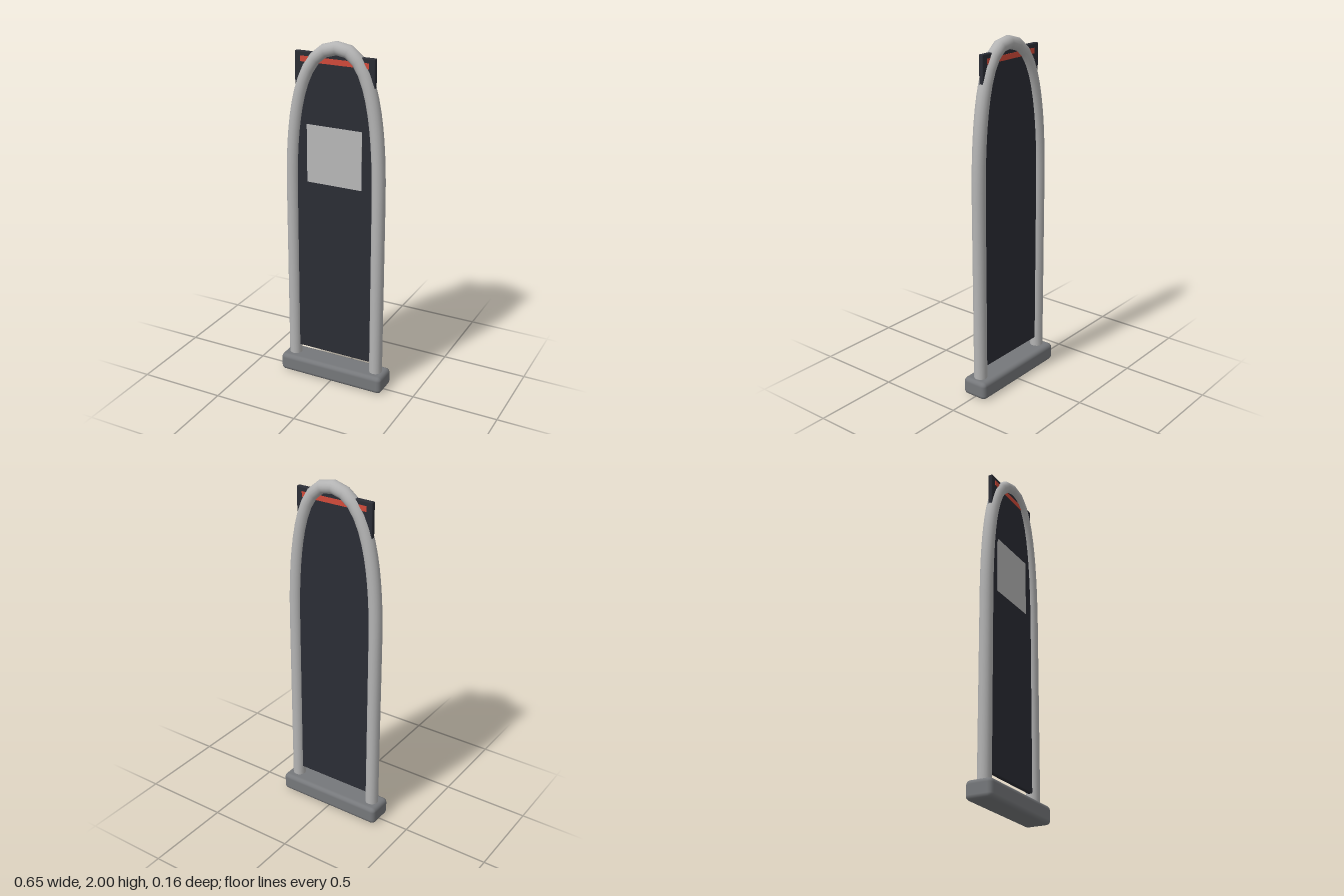
import * as THREE from 'three';
import { RoundedBoxGeometry } from 'three/addons/geometries/RoundedBoxGeometry.js';

function material(name, color) {
  const m = new THREE.MeshStandardMaterial({ color });
  m.name = name;
  return m;
}

export function createModel() {
  const group = new THREE.Group();
  const steel = material('brushed steel', 0xb4b4b4);
  const labelGrey = material('label grey', 0xb8b8b8);
  const baseGrey = material('base grey', 0x76787b);
  const dark = material('dark panel', 0x2b2d35);
  const red = material('red stripe', 0xd24a3a);

  const add = (name, geometry, mat, x, y, z) => {
    const mesh = new THREE.Mesh(geometry, mat);
    mesh.name = name;
    mesh.position.set(x, y, z);
    group.add(mesh);
  };

  // Foot with softened edges
  add('base', new RoundedBoxGeometry(0.65, 0.105, 0.155, 2, 0.025), baseGrey, 0, 0.0525, 0);

  // Bent tube: two straight legs joined by a slightly off-centre arch
  const v = (x, y) => new THREE.Vector3(x, y, 0);
  const leg = 0.2615, spring = 1.15, crown = 1.9625, apex = 0.024;
  const path = new THREE.CurvePath();
  path.add(new THREE.LineCurve3(v(-leg, 0.06), v(-leg, spring)));
  path.add(new THREE.QuadraticBezierCurve3(v(-leg, spring), v(-leg, crown), v(apex, crown)));
  path.add(new THREE.QuadraticBezierCurve3(v(apex, crown), v(leg, crown), v(leg, spring)));
  path.add(new THREE.LineCurve3(v(leg, spring), v(leg, 0.06)));
  add('tubeFrame', new THREE.TubeGeometry(path, 56, 0.0375, 16, false), steel, 0, 0, 0);

  // Panel held inside the frame, its top corners passing through the arch
  add('panel', new RoundedBoxGeometry(0.47, 1.77, 0.026, 2, 0.006), dark, 0, 1.045, 0);

  // Stripe seen on both faces of the panel
  for (const [name, z] of [['frontStripe', 0.0135], ['backStripe', -0.0125]]) {
    add(name, new THREE.BoxGeometry(0.4, 0.03, 0.004), red, 0, 1.89, z);
  }

  // Blank notice plate on the front
  add('noticePlate', new THREE.BoxGeometry(0.33, 0.33, 0.003), labelGrey, 0, 1.37, 0.0135);

  return group;
}
